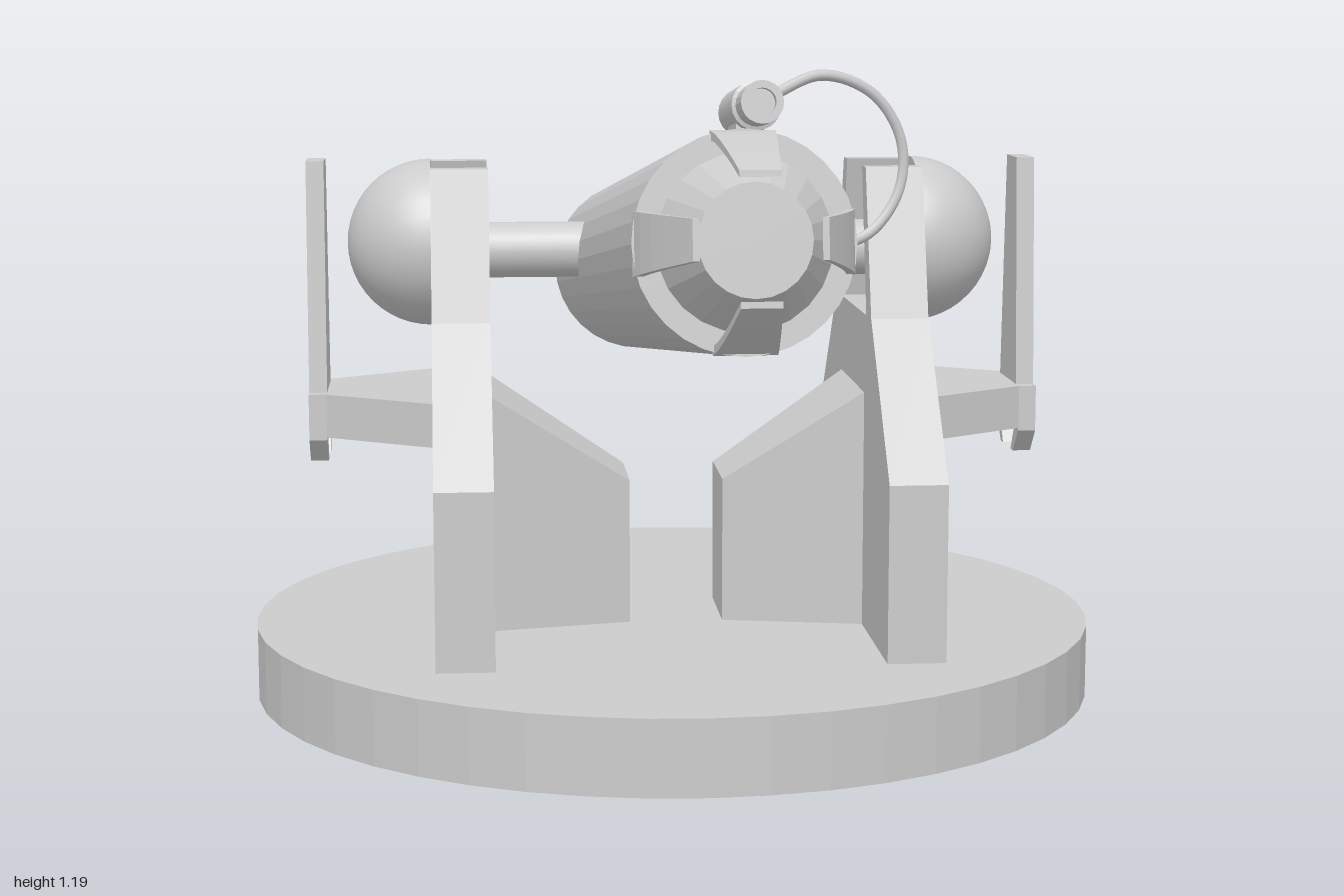
import * as THREE from 'three';

const smooth = new THREE.MeshStandardMaterial({ color: 0xcccccc });
const flat = new THREE.MeshStandardMaterial({ color: 0xcccccc, flatShading: true });
const PIVOT_Z = -0.21;

function add(parent, name, geometry, material = flat) {
  const mesh = new THREE.Mesh(geometry, material);
  mesh.name = name;
  parent.add(mesh);
  return mesh;
}

const toShape = (pts) => new THREE.Shape(pts.map(([a, b]) => new THREE.Vector2(a, b)));

// Closes half of an outline by mirroring it across the vertical axis
const mirrored = (half) => [...half, ...half.map(([u, v]) => [-u, v]).reverse()];

// Profile drawn in (z, y), spanning x0 to x1
function sidePlate(pts, x0, x1) {
  const g = new THREE.ExtrudeGeometry(toShape(pts), { depth: x1 - x0, bevelEnabled: false });
  return g.rotateY(-Math.PI / 2).translate(x1, 0, 0);
}

// Outline drawn in (x, z), spanning y0 to y1
function floorPlate(pts, y0, y1) {
  const g = new THREE.ExtrudeGeometry(toShape(pts), { depth: y1 - y0, bevelEnabled: false });
  return g.rotateX(Math.PI / 2).translate(0, y1, 0);
}

// Moves every vertex of a geometry by a rule
function reshape(g, rule) {
  const p = g.attributes.position;
  const v = new THREE.Vector3();
  for (let i = 0; i < p.count; i++) {
    rule(v.fromBufferAttribute(p, i));
    p.setXYZ(i, v.x, v.y, v.z);
  }
  g.computeVertexNormals();
  return g;
}

// Cylinder along z from z0 (radius r0) to z1 (radius r1)
function zCylinder(r0, r1, z0, z1, sides) {
  return new THREE.CylinderGeometry(r1, r0, z1 - z0, sides)
    .rotateX(Math.PI / 2).translate(0, 0, (z0 + z1) / 2);
}

// One support on the +x side, with its origin on the pivot axis
function createSupport(name) {
  const g = new THREE.Group();
  g.name = name;

  // Forked plate with a notch for the axle
  add(g, 'forkPlate', sidePlate(mirrored([
    [0.455, 0.13], [0.455, 0.455], [0.225, 0.72], [0.14, 0.99], [0.095, 0.99], [0.165, 0.72],
  ]), 0.345, 0.45));

  // Inner buttress, narrower and lower toward the middle
  add(g, 'buttress', reshape(new THREE.BoxGeometry(1, 1, 1), (v) => {
    const inner = v.x < 0;
    v.z = Math.sign(v.z) * (inner ? 0.095 : 0.15);
    v.y = v.y < 0 ? 0.13 : inner ? 0.405 : 0.575;
    v.x = inner ? 0.087 : 0.346;
  }));

  // Hemispherical axle cap
  const r = 0.155;
  const dome = new THREE.SphereGeometry(r, 32, 12, 0, Math.PI * 2, 0, Math.PI / 2);
  add(g, 'axleDome', dome.rotateZ(-Math.PI / 2).translate(0.45, 0.846, 0), smooth);
  const disc = new THREE.CircleGeometry(r, 32).rotateY(-Math.PI / 2);
  add(g, 'axleDomeBack', disc.translate(0.45, 0.846, 0));

  // Outer bracket and upright guard
  add(g, 'bracket', floorPlate([[0.449, -0.23], [0.646, -0.1], [0.646, 0.1], [0.449, 0.23]], 0.495, 0.575));
  add(g, 'guard', sidePlate(mirrored([
    [0.063, 0.49], [0.036, 0.445], [0.058, 0.445], [0.1, 0.49],
    [0.1, 0.575], [0.075, 0.575], [0.045, 1.0],
  ]), 0.645, 0.678));

  g.position.z = PIVOT_Z;
  return g;
}

// Barrel along local z, with its muzzle at the origin
function createBarrel() {
  const g = new THREE.Group();
  g.name = 'barrel';
  add(g, 'tube', zCylinder(0.172, 0.172, -1.583, 0, 32));
  add(g, 'noseCone', zCylinder(0.14, 0.086, -0.01, 0.115, 24));

  // Four prongs curving in around the nose
  for (let i = 0; i < 4; i++) {
    const prong = reshape(new THREE.BoxGeometry(0.1, 0.014, 1, 1, 1, 5), (v) => {
      const t = v.z + 0.5;
      v.x *= 1 - 0.38 * t;
      v.y = v.y * (1 - 0.3 * t) + 0.163 - 0.068 * Math.pow(t, 1.3);
      v.z = -0.01 + 0.18 * t;
    });
    add(g, 'prong', prong).rotation.z = i * Math.PI / 2;
  }

  // Sighting scope
  const scope = new THREE.Group();
  scope.name = 'scope';
  scope.position.set(0.05, 0.222, 0);
  add(scope, 'scopeBody', zCylinder(0.04, 0.04, -0.36, -0.2, 20), smooth);
  const rim = [[0.04, -0.2], [0.034, -0.198], [0.034, -0.135], [0.022, -0.135], [0.022, -0.15], [0, -0.15]];
  const rimGeo = new THREE.LatheGeometry(rim.map(([a, b]) => new THREE.Vector2(a, b)), 20);
  add(scope, 'scopeLens', rimGeo.rotateX(Math.PI / 2));
  add(scope, 'scopeFoot', new THREE.BoxGeometry(0.04, 0.06, 0.09).translate(-0.01, -0.045, -0.27));
  g.add(scope);

  g.position.set(0.027, 0.94, 0.822);
  g.lookAt(0.027 + 0.054, 0.94 + 0.197, 0.822 + 1.568);
  return g;
}

export function createModel() {
  const model = new THREE.Group();
  model.name = 'mountedCannon';

  // Round base
  add(model, 'base', new THREE.CylinderGeometry(0.787, 0.787, 0.135, 48).translate(0, 0.0675, -0.213));

  // Supports on both sides and the axle between them
  const left = createSupport('leftSupport');
  const right = createSupport('rightSupport');
  right.rotation.y = Math.PI;
  model.add(left, right);
  const axle = new THREE.CylinderGeometry(0.052, 0.052, 0.9, 24).rotateZ(Math.PI / 2);
  add(model, 'axle', axle.translate(0, 0.83, PIVOT_Z), smooth);

  model.add(createBarrel());

  // Cable looping from the scope to the barrel's flank
  const path = new THREE.CatmullRomCurve3([
    [0.09, 1.145, 0.56], [0.18, 1.18, 0.535], [0.265, 1.15, 0.518], [0.312, 1.08, 0.512],
    [0.312, 1.0, 0.518], [0.265, 0.93, 0.535], [0.185, 0.9, 0.56],
  ].map((p) => new THREE.Vector3(...p)));
  add(model, 'cable', new THREE.TubeGeometry(path, 40, 0.009, 8), smooth);

  return model;
}
